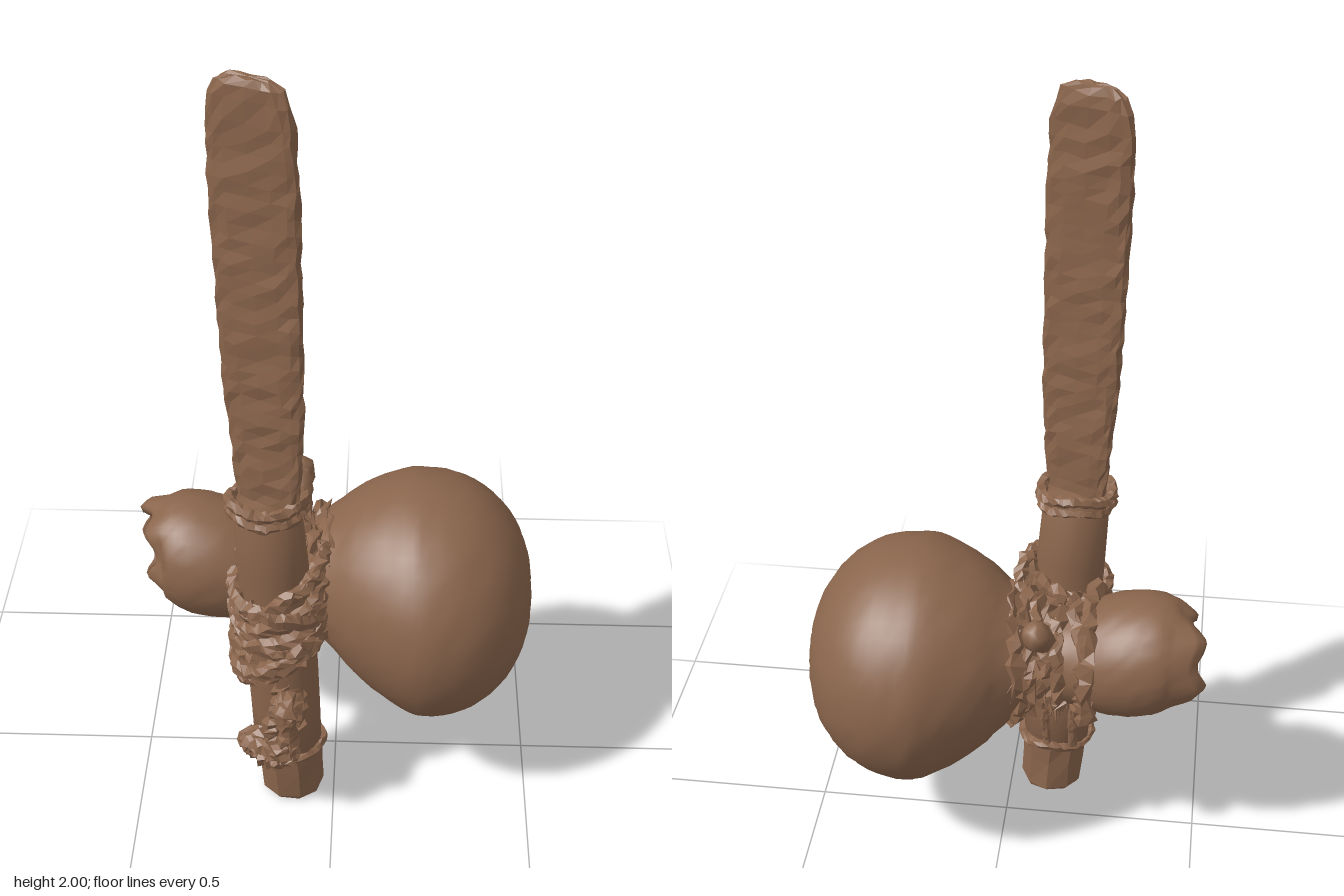
import * as THREE from 'three';
import { mergeVertices } from 'three/addons/utils/BufferGeometryUtils.js';

const brown = new THREE.MeshStandardMaterial({ color: 0x8a654c });
brown.name = 'weathered brown';

// Repeatable noise from a position, so shared corners move together
const hash = (x, y, z, k) => {
  const s = Math.sin(Math.round(x * 2000) * 12.9898 + Math.round(y * 2000) * 78.233 + Math.round(z * 2000) * 37.719 + k * 11.3) * 43758.5453;
  return s - Math.floor(s) - 0.5;
};

// Weld the corners, roughen the surface, then shade flat or smooth
function finish(geometry, rough, flat) {
  geometry.deleteAttribute('uv');
  geometry.deleteAttribute('normal');
  let g = mergeVertices(geometry, 1e-4);
  const p = g.attributes.position;
  for (let i = 0; i < p.count; i++) {
    const [x, y, z] = [p.getX(i), p.getY(i), p.getZ(i)];
    p.setXYZ(i, x + hash(x, y, z, 1) * rough, Math.max(0, y + hash(x, y, z, 2) * rough), z + hash(x, y, z, 3) * rough);
  }
  if (flat) g = g.toNonIndexed();
  g.computeVertexNormals();
  return g;
}

function add(group, name, geometry, rough = 0, flat = true) {
  const mesh = new THREE.Mesh(finish(geometry, rough, flat), brown);
  mesh.name = name;
  group.add(mesh);
}

// Upright loft; each section is [y, centre x, centre z, half width, half depth]
function loft(sections, sides, angle, power = 1) {
  const g = new THREE.CylinderGeometry(1, 1, 1, sides, sections.length - 1);
  const p = g.attributes.position;
  const c = Math.cos(angle), s = Math.sin(angle);
  const bend = (v) => Math.sign(v) * Math.abs(v) ** power;
  for (let i = 0; i < p.count; i++) {
    const row = Math.round((p.getY(i) + 0.5) * (sections.length - 1));
    const [y, cx, cz, a, b] = sections[row];
    const u = bend(p.getX(i)) * a, v = bend(p.getZ(i)) * b;
    p.setXYZ(i, cx + u * c - v * s, y, cz + u * s + v * c);
  }
  return g;
}

function rope(points, radius, closed = false, segments = 32) {
  const curve = new THREE.CatmullRomCurve3(points.map((q) => new THREE.Vector3(...q)), closed);
  return new THREE.TubeGeometry(curve, segments, radius, 6, closed);
}

// Points round a ring, made by a rule of the angle
const ring = (fn, n = 14) => Array.from({ length: n }, (_, i) => fn((i / n) * Math.PI * 2));

// Double-bulbed gourd lying along x, with a broken open mouth
function gourdGeometry() {
  const outer = [[0.095, -0.47], [0.123, -0.44], [0.148, -0.395], [0.158, -0.34], [0.153, -0.27], [0.132, -0.2],
    [0.118, -0.13], [0.135, -0.07], [0.185, -0.005], [0.235, 0.05], [0.28, 0.12], [0.311, 0.19], [0.315, 0.25],
    [0.298, 0.325], [0.255, 0.395], [0.19, 0.45], [0.11, 0.482], [0.05, 0.491], [0, 0.492]];
  const spline = new THREE.SplineCurve(outer.map((q) => new THREE.Vector2(...q)));
  const inner = [[0, -0.34], [0.09, -0.35], [0.105, -0.4], [0.08, -0.465]].map((q) => new THREE.Vector2(...q));
  const profile = [...inner, ...spline.getPoints(54)];
  profile.forEach((q) => { q.x = Math.max(0, q.x); });
  const g = new THREE.LatheGeometry(profile, 48);
  const p = g.attributes.position;
  for (let i = 0; i < p.count; i++) {
    const t = p.getY(i);
    const y = p.getZ(i), z = p.getX(i);
    const k = THREE.MathUtils.clamp((t + 0.34) / 0.57, -0.2, 1);
    const lip = t < -0.43 ? 0.2 * z - 0.005 + 0.012 * Math.sin(5 * Math.atan2(y, z)) : 0;
    p.setXYZ(i, t + lip, 0.612 - 0.087 * k + y, -0.045 + 0.03 * k + z);
  }
  return g;
}

export function createModel() {
  const model = new THREE.Group();
  model.name = 'gourdAndBlade';

  add(model, 'gourd', gourdGeometry(), 0.003, false);

  // Broad wooden blade, slightly turned, with a rounded tip
  const bladeRows = [[0.9, 0.08, 0.016], [1.0, 0.086, 0.016], [1.2, 0.102, 0.018], [1.4, 0.107, 0.02], [1.6, 0.109, 0.021],
    [1.8, 0.111, 0.022], [1.9, 0.106, 0.022], [1.95, 0.096, 0.022], [1.98, 0.08, 0.02], [1.997, 0.05, 0.014]];
  const blade = [];
  bladeRows.forEach(([y, a, b], i) => {
    const next = bladeRows[i + 1];
    const steps = next ? Math.max(1, Math.round((next[0] - y) / 0.034)) : 1;
    for (let j = 0; j < steps; j++) {
      const f = j / steps, m = (k) => (next ? THREE.MathUtils.lerp(bladeRows[i][k], next[k], f) : bladeRows[i][k]);
      const h = (m(0) - 0.9) / 1.1;
      blade.push([m(0), -0.151 - 0.021 * h, 0.168 - 0.011 * h, m(1), m(2)]);
    }
  });
  add(model, 'blade', loft(blade, 16, 0.45, 0.7), 0.008);

  // Sheath, leaning a little, and its hollow lower end
  add(model, 'sheath', loft([[0.15, -0.119, 0.152, 0.088, 0.078], [0.3, -0.123, 0.153, 0.09, 0.08], [0.45, -0.13, 0.155, 0.091, 0.08],
    [0.6, -0.138, 0.157, 0.091, 0.079], [0.75, -0.147, 0.16, 0.089, 0.076], [0.94, -0.157, 0.163, 0.086, 0.073]], 18, 0.45), 0.004, false);
  add(model, 'sheathFoot', loft([[0.06, -0.11, 0.148, 0.045, 0.045], [0.02, -0.108, 0.148, 0.06, 0.06], [0.003, -0.108, 0.148, 0.073, 0.07],
    [0.015, -0.108, 0.148, 0.08, 0.076], [0.1, -0.112, 0.15, 0.084, 0.078], [0.175, -0.116, 0.151, 0.086, 0.08]], 9, 0.45), 0.005);

  // Raised bands at both ends of the sheath
  const bands = [[0.945, -0.157, 0.163, 0.088, 0.067, 0.015], [0.915, -0.156, 0.163, 0.086, 0.068, 0.014], [0.168, -0.119, 0.152, 0.09, 0.08, 0.013]];
  for (const [y, cx, cz, a, b, r] of bands) {
    add(model, 'sheathBand', rope(ring((t) => [cx + a * Math.cos(t), y + 0.006 * Math.sin(3 * t), cz + b * Math.sin(t)]), r, true, 40), 0.007);
  }

  // Slanting cords round the sheath
  for (let i = 0; i < 7; i++) {
    const y = 0.475 + i * 0.034;
    const slope = i % 3 === 2 ? -0.3 : 0.5 + 0.1 * Math.sin(i * 2.1);
    const r = 0.094 + 0.008 * (i % 2);
    add(model, 'sheathCord', rope(ring((t) => [-0.138 + r * Math.cos(t), y + r * slope * Math.cos(t) + 0.01 * Math.sin(2 * t + i),
      0.158 + (r - 0.005) * Math.sin(t)]), 0.02, true, 40), 0.013);
  }

  // Frayed cords round the neck of the gourd
  for (let i = 0; i < 7; i++) {
    const x = -0.215 + i * 0.034;
    const r = 0.122 + 0.035 * Math.abs((i - 3) / 3) ** 2;
    const lean = 0.04 * Math.sin(i * 2.4);
    add(model, 'neckCord', rope(ring((t) => [x + lean * Math.cos(t), 0.582 - 0.012 * i / 6 + r * Math.sin(t) + 0.008 * Math.sin(3 * t + i),
      -0.03 + r * Math.cos(t)]), 0.021, true, 40), 0.024);
  }

  // Cords joining the neck to the sheath on both sides
  for (const y of [0.47, 0.54, 0.62, 0.69]) {
    for (const side of [-1, 1]) {
      add(model, 'joiningCord', rope([[-0.13 + side * 0.07, y, -0.09], [-0.13 + side * 0.1, y + 0.01, 0.0], [-0.135 + side * 0.108, y + side * 0.03, 0.08],
        [-0.138 + side * 0.1, y + side * 0.045, 0.16], [-0.138 + side * 0.05, y + side * 0.02, 0.25]], 0.018, false, 24), 0.014);
    }
  }

  // Loose fibres standing up from the binding
  for (let i = 0; i < 34; i++) {
    const t = i * 2.4, x = -0.225 + 0.23 * ((i * 0.618) % 1);
    const fibre = new THREE.ConeGeometry(0.014, 0.06, 3);
    fibre.rotateX(Math.PI / 2 - t).rotateY(0.5 * Math.sin(i * 1.7));
    fibre.translate(x, 0.58 + 0.145 * Math.sin(t), -0.03 + 0.145 * Math.cos(t));
    add(model, 'fibre', fibre, 0.012);
  }

  // Thick cord end behind the neck
  add(model, 'cordEnd', rope([[-0.1, 0.66, -0.09], [-0.1, 0.71, -0.14], [-0.098, 0.745, -0.18], [-0.095, 0.765, -0.2]], 0.036, false, 12), 0.006, false);
  const tip = new THREE.SphereGeometry(0.036, 10, 8);
  tip.translate(-0.095, 0.765, -0.2);
  add(model, 'cordEndTip', tip, 0.006, false);

  // Hanging knot on the front of the sheath
  const strands = [
    [[-0.12, 0.42, 0.235], [-0.14, 0.36, 0.262], [-0.15, 0.3, 0.275], [-0.13, 0.24, 0.28], [-0.1, 0.21, 0.25]],
    [[-0.09, 0.42, 0.235], [-0.085, 0.36, 0.26], [-0.1, 0.3, 0.285], [-0.14, 0.26, 0.28], [-0.2, 0.235, 0.25], [-0.225, 0.215, 0.215]],
    [[-0.12, 0.42, 0.25], [-0.105, 0.4, 0.295], [-0.11, 0.35, 0.3], [-0.115, 0.28, 0.29], [-0.16, 0.21, 0.26], [-0.225, 0.235, 0.2]],
    [[-0.09, 0.22, 0.25], [-0.13, 0.2, 0.275], [-0.18, 0.2, 0.255], [-0.215, 0.21, 0.21]],
  ];
  strands.forEach((s) => add(model, 'hangingStrand', rope(s, 0.022, false, 22), 0.014));
  for (const [x, y, z, r] of [[-0.11, 0.38, 0.285, 0.036], [-0.12, 0.255, 0.285, 0.038], [-0.19, 0.225, 0.235, 0.038]]) {
    const lump = new THREE.IcosahedronGeometry(r, 2);
    lump.translate(x, y, z);
    add(model, 'knot', lump, 0.016);
  }

  // Thin cords running down the back of the sheath
  for (const x of [-0.17, -0.1]) {
    add(model, 'backCord', rope([[x, 0.5, 0.06], [x - 0.01, 0.4, 0.072], [x + 0.005, 0.28, 0.072], [x, 0.18, 0.075]], 0.011, false, 20), 0.006);
  }
  return model;
}
